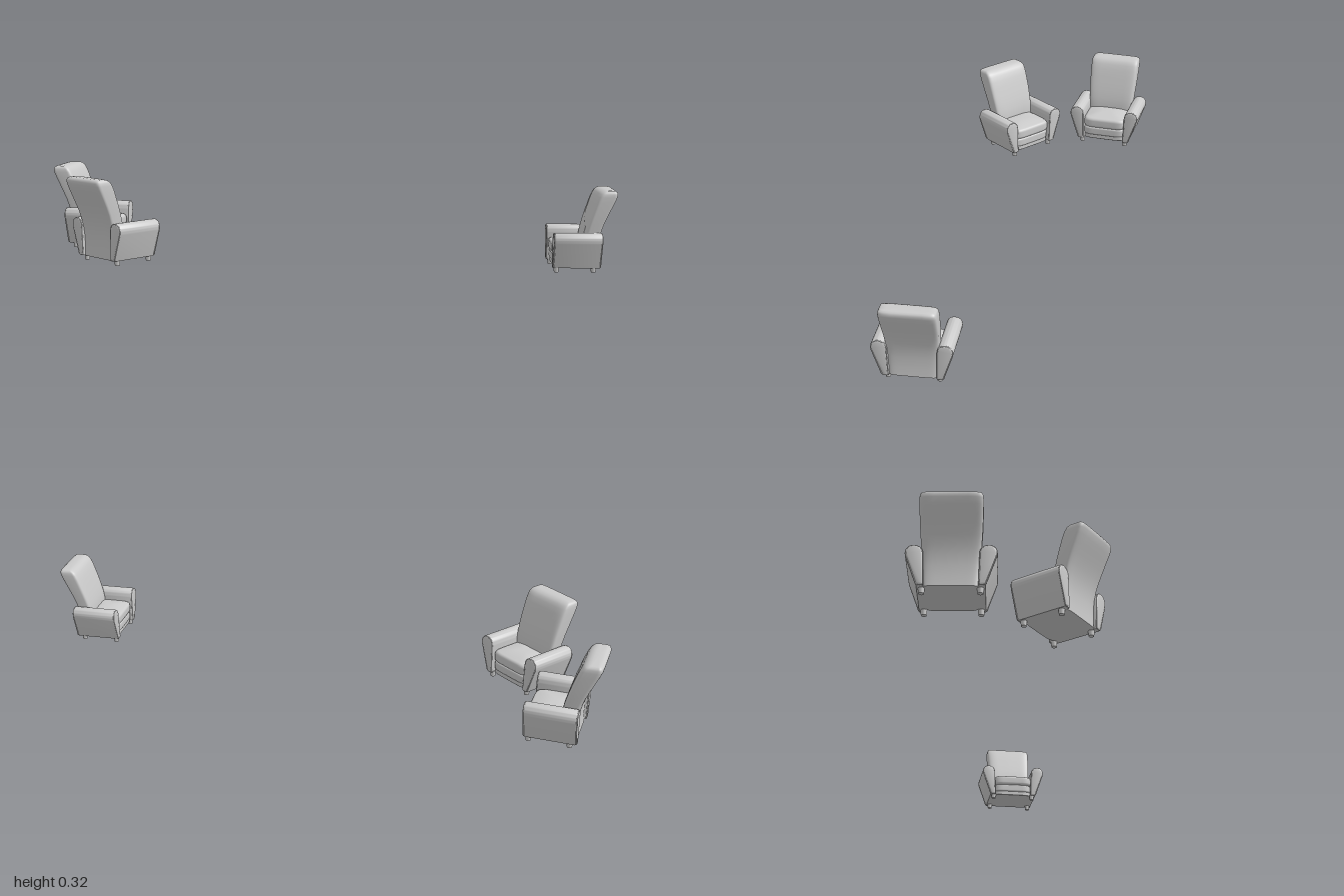
import * as THREE from 'three';
import { toCreasedNormals } from 'three/addons/utils/BufferGeometryUtils.js';

const material = new THREE.MeshStandardMaterial({ color: 0xcccccc, side: THREE.DoubleSide });

function part(name, geometry) {
  const mesh = new THREE.Mesh(geometry, material);
  mesh.name = name;
  return mesh;
}

// Stacks rounded-rectangle sections; each row is [y, halfWidth, zBack, zFront].
function loft(rows, power = 0.32, sides = 48) {
  const first = rows[0], last = rows[rows.length - 1];
  const close = ([y, , b, f]) => [y, 0, (b + f) / 2, (b + f) / 2];
  const rings = [close(first), first, ...rows, close(last)]; // doubled first row keeps the bottom edge crisp
  const positions = [], index = [];
  const soft = (v) => Math.sign(v) * Math.pow(Math.abs(v), power);
  rings.forEach(([y, hw, back, front], i) => {
    for (let j = 0; j < sides; j++) {
      const t = (j / sides) * Math.PI * 2;
      positions.push(hw * soft(Math.cos(t)), y, (back + front) / 2 + ((front - back) / 2) * soft(Math.sin(t)));
      if (i === rings.length - 1) continue;
      const a = i * sides + j, b = i * sides + ((j + 1) % sides);
      index.push(a, a + sides, b, b, a + sides, b + sides);
    }
  });
  const geometry = new THREE.BufferGeometry();
  geometry.setAttribute('position', new THREE.Float32BufferAttribute(positions, 3));
  geometry.setIndex(index);
  geometry.computeVertexNormals();
  return geometry;
}

// Seat layer with rounded rims and an optional crowned top.
function pad(y0, y1, hw, back, front, round, crown = 0) {
  const rows = [];
  const ring = (y, inset) => rows.push([y, hw - inset, back + inset, front - inset]);
  for (let i = 0; i <= 4; i++) {
    const a = (i / 4) * Math.PI / 2;
    ring(y0 + round * (1 - Math.cos(a)), round * (1 - Math.sin(a)));
  }
  for (let i = 0; i <= 4; i++) {
    const a = (i / 4) * Math.PI / 2;
    ring(y1 - round * (1 - Math.sin(a)), round * (1 - Math.cos(a)));
  }
  for (let i = 1; i < 6 && crown; i++) {
    const s = i / 6;
    ring(y1 + crown * (1 - (1 - s) ** 2), round + s * (hw - round) * 0.85);
  }
  return loft(rows);
}

// Rolled arm: teardrop outline, wide at the top and narrow at the floor.
function createArm() {
  const arm = new THREE.Group();
  arm.name = 'arm';
  const outline = new THREE.Shape();
  outline.moveTo(0.083, 0.018);
  outline.lineTo(0.105, 0.018);
  outline.lineTo(0.14, 0.117);
  outline.bezierCurveTo(0.147, 0.14, 0.135, 0.157, 0.116, 0.157);
  outline.bezierCurveTo(0.098, 0.157, 0.086, 0.147, 0.086, 0.126);
  outline.closePath();

  const length = 0.186, bevel = 0.007;
  const body = new THREE.ExtrudeGeometry(outline, {
    depth: length - 2 * bevel, curveSegments: 12,
    bevelEnabled: true, bevelSize: bevel, bevelOffset: -bevel, bevelThickness: bevel, bevelSegments: 3,
  });
  body.translate(0, 0, bevel - length / 2);
  arm.add(part('armBody', toCreasedNormals(body, 0.7)));

  // Piping around both ends
  for (const z of [-1, 1]) {
    const points = outline.getSpacedPoints(40).slice(0, -1)
      .map((p) => new THREE.Vector3(0.112 + (p.x - 0.112) * 0.92, 0.088 + (p.y - 0.088) * 0.96, z * (length / 2 - 0.003)));
    const path = new THREE.CatmullRomCurve3(points, true);
    arm.add(part('armPiping', new THREE.TubeGeometry(path, 80, 0.0025, 6, true)));
  }
  return arm;
}

function createArmchair() {
  const chair = new THREE.Group();
  chair.name = 'armchair';

  // Tall backrest that sweeps rearward towards its rounded top
  chair.add(part('backrest', loft([
    [0.018, 0.085, -0.086, -0.030],
    [0.050, 0.087, -0.084, -0.028],
    [0.090, 0.089, -0.084, -0.027],
    [0.125, 0.091, -0.088, -0.028],
    [0.155, 0.093, -0.095, -0.033],
    [0.185, 0.095, -0.105, -0.041],
    [0.215, 0.097, -0.118, -0.050],
    [0.245, 0.098, -0.132, -0.060],
    [0.272, 0.099, -0.145, -0.069],
    [0.292, 0.099, -0.153, -0.078],
    [0.303, 0.098, -0.155, -0.085],
    [0.310, 0.095, -0.152, -0.093],
    [0.314, 0.088, -0.146, -0.103],
    [0.3155, 0.070, -0.138, -0.112],
  ], 0.3)));

  // Seat layers
  chair.add(part('bottomRail', pad(0.018, 0.037, 0.088, -0.075, 0.083, 0.003)));
  chair.add(part('seatBase', pad(0.035, 0.069, 0.088, -0.075, 0.087, 0.007)));
  chair.add(part('seatCushion', pad(0.068, 0.111, 0.088, -0.07, 0.09, 0.012, 0.009)));

  // Arms and legs, mirrored
  for (const side of [1, -1]) {
    const arm = createArm();
    arm.scale.x = side;
    chair.add(arm);
    for (const z of [-0.066, 0.076]) {
      const leg = part('leg', new THREE.CylinderGeometry(0.011, 0.009, 0.022, 16));
      leg.position.set(side * 0.09, 0.011, z);
      chair.add(leg);
    }
  }
  return chair;
}

export function createModel() {
  const model = new THREE.Group();
  model.name = 'armchairs';
  // Each placement: x, z, facing direction x and z, scale
  const placements = [
    [-0.826, 0.283, 0.86, -0.51, 1],
    [-0.498, 0.48, 0.06, -1, 1],
    [0.845, -0.495, -0.78, 0.63, 0.91],
  ];
  for (const [x, z, fx, fz, scale] of placements) {
    const chair = createArmchair();
    chair.position.set(x, 0, z);
    chair.rotation.y = Math.atan2(fx, fz);
    chair.scale.setScalar(scale);
    model.add(chair);
  }
  return model;
}
